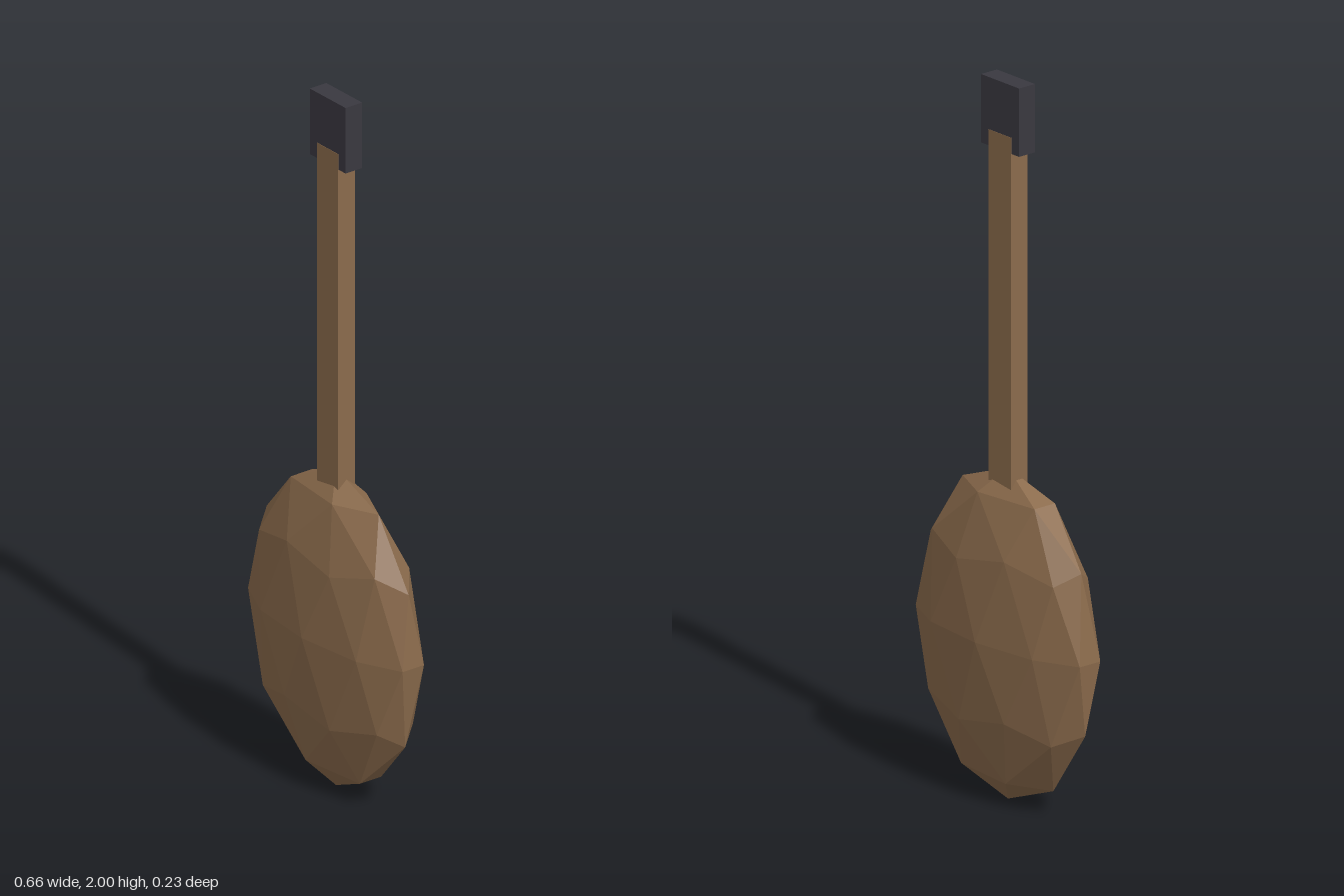
import * as THREE from 'three';

export function createModel() {
  const group = new THREE.Group();
  const wood = new THREE.MeshStandardMaterial({ color: 0x8b6b4c, flatShading: true });
  wood.name = 'brown wood';
  const dark = new THREE.MeshStandardMaterial({ color: 0x3a3840, flatShading: true });
  dark.name = 'dark grey';

  const add = (name, geometry, material, y) => {
    const mesh = new THREE.Mesh(geometry, material);
    mesh.name = name;
    mesh.position.y = y;
    group.add(mesh);
  };

  // Faceted flattened body: a corner points up, the upper ring has a corner at +x
  const body = new THREE.IcosahedronGeometry(1, 1);
  body.rotateX(-Math.atan((1 + Math.sqrt(5)) / 2));
  body.rotateY(Math.PI / 2);
  body.scale(0.345, 0.46, 0.115);
  body.computeVertexNormals();
  add('body', body, wood, 0.46);

  // Long neck, sunk into the body and running onto the head
  add('neck', new THREE.BoxGeometry(0.09, 1.0, 0.057), wood, 1.355);

  // Head block
  add('head', new THREE.BoxGeometry(0.152, 0.19, 0.055), dark, 1.905);

  return group;
}
